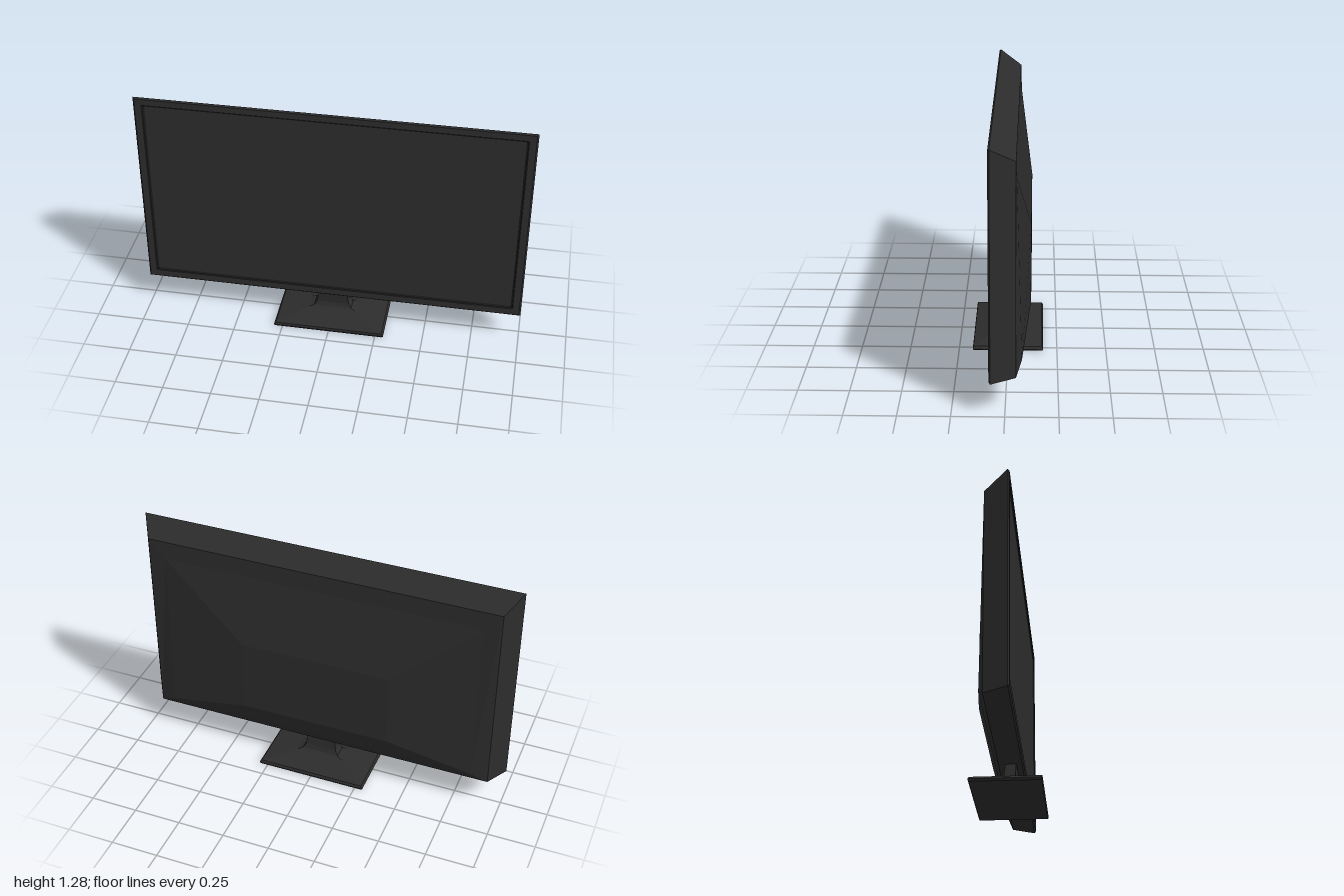
import * as THREE from 'three';

const paint = (name, color) => {
  const m = new THREE.MeshStandardMaterial({ color });
  m.name = name;
  return m;
};

// Rectangle facing the front; the lower and upper edges may differ in depth
const upright = (x, y0, y1, z0, z1 = z0) =>
  [[-x, y0, z0], [x, y0, z0], [x, y1, z1], [-x, y1, z1]];

// Rectangle lying flat at height y
const level = (x, y, z0, z1) =>
  [[-x, y, z0], [x, y, z0], [x, y, z1], [-x, y, z1]];

// Flat-shaded skin through a series of four-cornered rings
function loft(rings, capStart, capEnd) {
  const pos = [];
  const quad = (a, b, c, d) => pos.push(...a, ...b, ...c, ...a, ...c, ...d);
  if (capStart) quad(...rings[0]);
  for (let i = 0; i < rings.length - 1; i++) {
    for (let j = 0; j < 4; j++) {
      const k = (j + 1) % 4;
      quad(rings[i][j], rings[i + 1][j], rings[i + 1][k], rings[i][k]);
    }
  }
  if (capEnd) quad(...[...rings[rings.length - 1]].reverse());
  const g = new THREE.BufferGeometry();
  g.setAttribute('position', new THREE.Float32BufferAttribute(pos, 3));
  g.computeVertexNormals();
  return g;
}

export function createModel() {
  const model = new THREE.Group();
  model.name = 'monitor';
  const plastic = paint('charcoal plastic', 0x2c2c2c);
  const trim = paint('dark trim', 0x191919);
  const glass = paint('screen grey', 0x2d2d2d);

  const add = (name, geometry, material) => {
    const mesh = new THREE.Mesh(geometry, material);
    mesh.name = name;
    model.add(mesh);
  };

  // Recessed display and the groove around it
  add('screen', loft([upright(0.945, 0.222, 1.232, 0.066)], true, false), glass);
  add('screenGroove', loft([
    upright(0.945, 0.222, 1.232, 0.066),
    upright(0.955, 0.212, 1.242, 0.071),
  ], false, false), trim);

  // Front frame and tapered casing
  add('casing', loft([
    upright(0.955, 0.212, 1.242, 0.071),
    upright(0.957, 0.21, 1.244, 0.075),
    upright(0.992, 0.173, 1.276, 0.075),
    upright(1.0, 0.165, 1.283, 0.067),
    upright(0.93, 0.165, 1.21, -0.05),
  ], false, false), plastic);

  // Faceted back, bulging towards the middle
  add('backShell', loft([
    upright(0.93, 0.165, 1.21, -0.05),
    upright(0.84, 0.215, 1.11, -0.077, -0.052),
    upright(0.4, 0.325, 0.73, -0.117),
  ], false, true), plastic);

  // Rectangular foot sweeping up into the neck
  add('stand', loft([
    level(0.285, 0, -0.175, 0.175),
    level(0.295, 0.01, -0.18, 0.18),
    level(0.285, 0.023, -0.173, 0.177),
    level(0.125, 0.051, -0.047, 0.05),
    level(0.1, 0.061, -0.034, 0.04),
    level(0.085, 0.085, -0.025, 0.033),
    level(0.075, 0.165, -0.015, 0.039),
    level(0.075, 0.19, -0.015, 0.039),
  ], true, true), plastic);

  return model;
}
